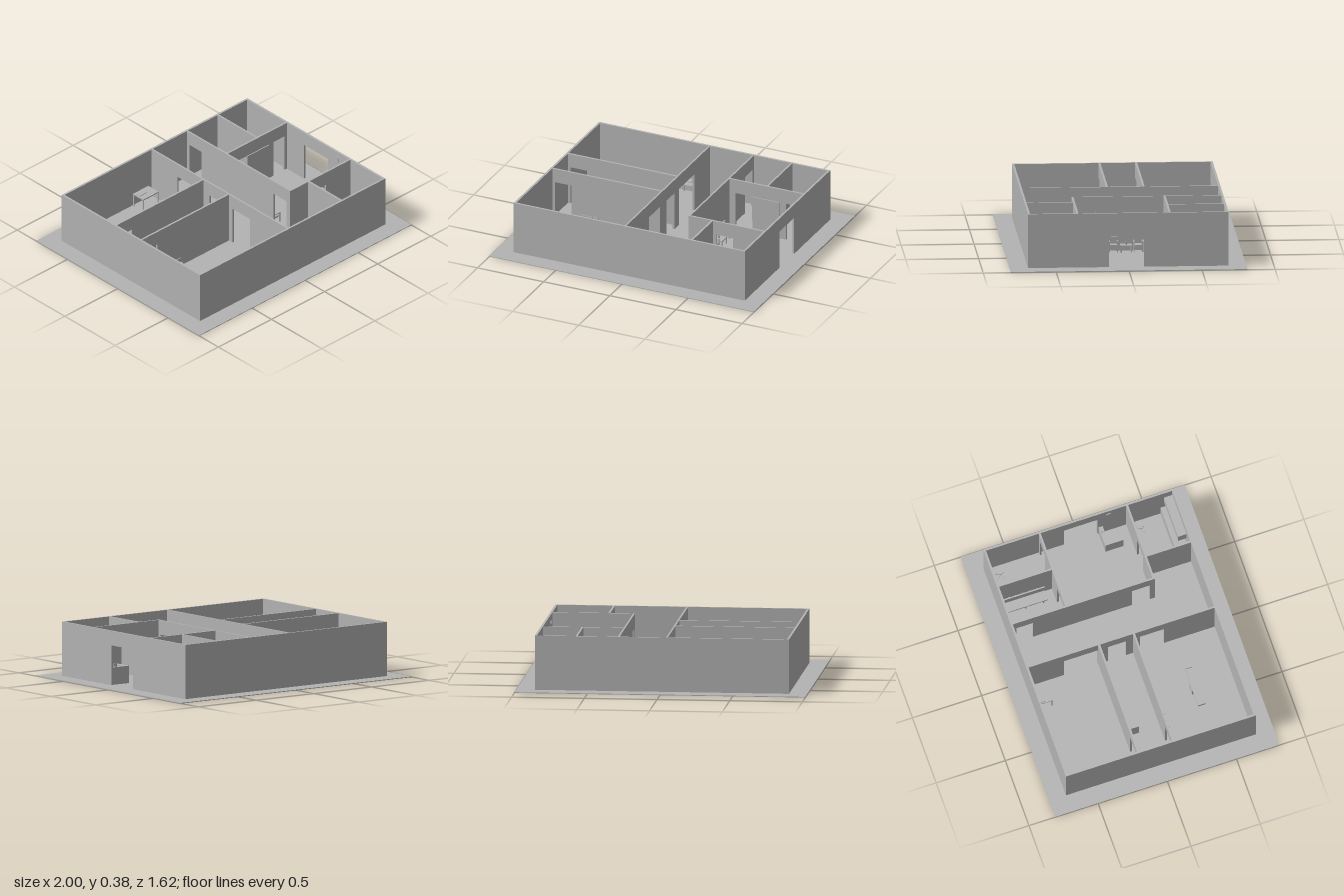
import * as THREE from 'three';

const grey = new THREE.MeshStandardMaterial({ color: 0xb3b3b3 });
grey.name = 'plain grey';

const FLOOR = 0.005, TOP = 0.38, DOOR = 0.28;

function add(parent, name, geometry, x = 0, y = 0, z = 0) {
  const mesh = new THREE.Mesh(geometry, grey);
  mesh.name = name;
  mesh.position.set(x, y, z);
  parent.add(mesh);
  return mesh;
}

function group(parent, name, x = 0, z = 0, turn = 0) {
  const g = new THREE.Group();
  g.name = name;
  g.position.set(x, FLOOR, z);
  g.rotation.y = turn;
  parent.add(g);
  return g;
}

// Box given by its extents
function block(parent, name, x0, x1, y0, y1, z0, z1) {
  return add(parent, name, new THREE.BoxGeometry(x1 - x0, y1 - y0, z1 - z0),
    (x0 + x1) / 2, (y0 + y1) / 2, (z0 + z1) / 2);
}

// Wall outline with door notches, extruded to its thickness
function wall(parent, name, axis, from, to, near, far, doors = []) {
  const s = new THREE.Shape();
  const sign = axis === 'x' ? 1 : -1;
  const points = [[from, FLOOR]];
  for (const [a, b] of doors) points.push([a, FLOOR], [a, DOOR], [b, DOOR], [b, FLOOR]);
  points.push([to, FLOOR], [to, TOP], [from, TOP]);
  s.setFromPoints(points.map(([u, y]) => new THREE.Vector2(u * sign, y)));
  const geo = new THREE.ExtrudeGeometry(s, { depth: far - near, bevelEnabled: false });
  const mesh = add(parent, name, geo);
  if (axis === 'x') mesh.position.z = near;
  else { mesh.rotation.y = Math.PI / 2; mesh.position.x = near; }
}

// Armchair facing +x
function armchair(parent, x, z, turn = 0) {
  const g = group(parent, 'armchair', x, z, turn);
  block(g, 'seat', -0.03, 0.034, 0.04, 0.052, -0.024, 0.024);
  block(g, 'backrest', -0.037, -0.028, 0.045, 0.1, -0.028, 0.028);
  for (const s of [-1, 1]) {
    block(g, 'armrest', -0.03, 0.034, 0.07, 0.076, s * 0.028 - 0.003, s * 0.028 + 0.003);
    for (const lx of [-0.03, 0.03]) {
      block(g, 'leg', lx - 0.003, lx + 0.003, 0, 0.073, s * 0.028 - 0.003, s * 0.028 + 0.003);
    }
  }
}

// Round stool on a five-armed foot
function stool(parent, x, z) {
  const g = group(parent, 'stool', x, z);
  add(g, 'seat', new THREE.CylinderGeometry(0.025, 0.025, 0.01, 20), 0, 0.07, 0);
  add(g, 'column', new THREE.CylinderGeometry(0.004, 0.004, 0.06, 10), 0, 0.037, 0);
  for (let i = 0; i < 5; i++) {
    const a = i * Math.PI * 0.4;
    const arm = add(g, 'footArm', new THREE.BoxGeometry(0.038, 0.005, 0.005),
      Math.cos(a) * 0.019, 0.008, Math.sin(a) * 0.019);
    arm.rotation.y = -a;
  }
}

function table(parent, name, x0, x1, z0, z1, h) {
  const g = group(parent, name);
  block(g, 'tableTop', x0, x1, h - 0.008, h, z0, z1);
  for (const x of [x0, x1 - 0.008]) for (const z of [z0, z1 - 0.008]) {
    block(g, 'leg', x, x + 0.008, 0, h - 0.008, z, z + 0.008);
  }
  return g;
}

export function createModel() {
  const model = new THREE.Group();
  model.name = 'floorPlan';

  block(model, 'groundSlab', -1, 1, 0, FLOOR, -0.81, 0.81);

  // Outer walls
  const walls = new THREE.Group();
  walls.name = 'walls';
  model.add(walls);
  wall(walls, 'backWall', 'x', -0.875, 0.872, -0.69, -0.675);
  wall(walls, 'frontWall', 'x', -0.875, 0.872, 0.67, 0.685);
  wall(walls, 'rightWall', 'z', -0.675, 0.67, -0.875, -0.86);
  wall(walls, 'entranceWall', 'z', -0.675, 0.67, 0.857, 0.872, [[-0.11, 0.13]]);

  // Partitions
  wall(walls, 'corridorWall', 'z', -0.675, 0.67, -0.042, -0.029,
    [[-0.42, -0.175], [-0.1, 0.03], [0.13, 0.305]]);
  wall(walls, 'rearRoomWall', 'x', -0.86, -0.042, -0.172, -0.157, [[-0.84, -0.717]]);
  wall(walls, 'frontRoomWall', 'x', -0.86, -0.042, 0.08, 0.094, [[-0.84, -0.717]]);
  wall(walls, 'lobbySideWall', 'z', -0.675, 0.352, 0.29, 0.303, [[-0.65, -0.53], [0.185, 0.315]]);
  wall(walls, 'lobbyRearWall', 'x', 0.303, 0.857, -0.294, -0.28, [[0.35, 0.475], [0.73, 0.835]]);
  wall(walls, 'rearOfficeWall', 'z', -0.675, -0.294, 0.579, 0.592);
  wall(walls, 'lobbyFrontWall', 'x', 0.303, 0.857, 0.338, 0.352, [[0.5, 0.625]]);
  wall(walls, 'frontOfficeWall', 'z', 0.352, 0.67, 0.46, 0.475);

  // Lobby seating, side table and plant
  for (const z of [-0.167, -0.102, 0.068, 0.133]) armchair(model, 0.342, z);
  table(model, 'sideTable', 0.315, 0.388, -0.058, 0.02, 0.05);
  const plant = group(model, 'plant', 0.345, -0.019);
  add(plant, 'pot', new THREE.CylinderGeometry(0.008, 0.006, 0.014, 12), 0, 0.057, 0);
  for (let i = 0; i < 5; i++) {
    const leaf = add(plant, 'leaf', new THREE.ConeGeometry(0.004, 0.022, 5),
      Math.cos(i * 1.257) * 0.007, 0.07, Math.sin(i * 1.257) * 0.007);
    leaf.rotation.set(Math.sin(i * 1.257) * 0.6, 0, -Math.cos(i * 1.257) * 0.6);
  }
  block(model, 'wallBoard', 0.478, 0.685, 0.1, 0.28, -0.28, -0.273);

  // Reception desk, screen and clock
  const desk = group(model, 'receptionDesk');
  block(desk, 'deskBack', 0.715, 0.857, 0, 0.12, 0.138, 0.168);
  block(desk, 'deskFront', 0.715, 0.75, 0, 0.12, 0.168, 0.27);
  block(desk, 'worktop', 0.75, 0.767, 0.085, 0.092, 0.168, 0.27);
  block(desk, 'screen', 0.81, 0.835, 0.125, 0.145, 0.15, 0.155);
  block(desk, 'screenFoot', 0.815, 0.83, 0.12, 0.125, 0.146, 0.16);
  add(model, 'clock', new THREE.CylinderGeometry(0.022, 0.022, 0.006, 24), 0.853, 0.32, 0.215)
    .rotation.z = Math.PI / 2;

  // Front office
  block(model, 'baseCabinet', 0.555, 0.857, FLOOR, 0.12, 0.585, 0.67);
  block(model, 'wallCabinet', 0.555, 0.857, 0.22, 0.3, 0.61, 0.67);
  stool(model, 0.795, 0.415);

  // Rear offices
  const bench = group(model, 'bench');
  block(bench, 'seat', 0.492, 0.565, 0.05, 0.062, -0.66, -0.352);
  block(bench, 'backrest', 0.562, 0.572, 0.06, 0.12, -0.66, -0.352);
  for (const z of [-0.64, -0.51, -0.38]) block(bench, 'leg', 0.5, 0.565, 0, 0.05, z - 0.005, z + 0.005);
  for (let i = 0; i < 5; i++) {
    block(bench, 'hook', 0.57, 0.579, 0.1, 0.106, -0.61 + i * 0.05, -0.602 + i * 0.05);
  }
  armchair(model, 0.652, -0.608, 0.7);
  stool(model, 0.79, -0.6);

  // Rooms on the right
  const worktable = table(model, 'worktable', -0.225, -0.08, -0.667, -0.565, 0.1);
  block(worktable, 'keyboard', -0.215, -0.145, 0.1, 0.104, -0.645, -0.61);
  block(model, 'counter', -0.605, -0.21, FLOOR, 0.13, -0.157, -0.07);
  const row = group(model, 'seatRow');
  block(row, 'rail', -0.645, -0.505, 0.03, 0.036, 0.118, 0.126);
  for (let i = 0; i < 3; i++) {
    const x = -0.64 + i * 0.046;
    block(row, 'seat', x, x + 0.04, 0.036, 0.044, 0.106, 0.14);
    block(row, 'backrest', x, x + 0.04, 0.044, 0.075, 0.102, 0.108);
  }
  for (const x of [-0.64, -0.516]) block(row, 'leg', x, x + 0.006, 0, 0.03, 0.108, 0.138);
  const couch = group(model, 'couch');
  block(couch, 'couchTop', -0.58, -0.295, 0.07, 0.09, 0.367, 0.42);
  block(couch, 'headRoll', -0.303, -0.292, 0.09, 0.1, 0.372, 0.415);
  block(couch, 'pedestal', -0.46, -0.4, 0, 0.07, 0.363, 0.424);

  return model;
}
